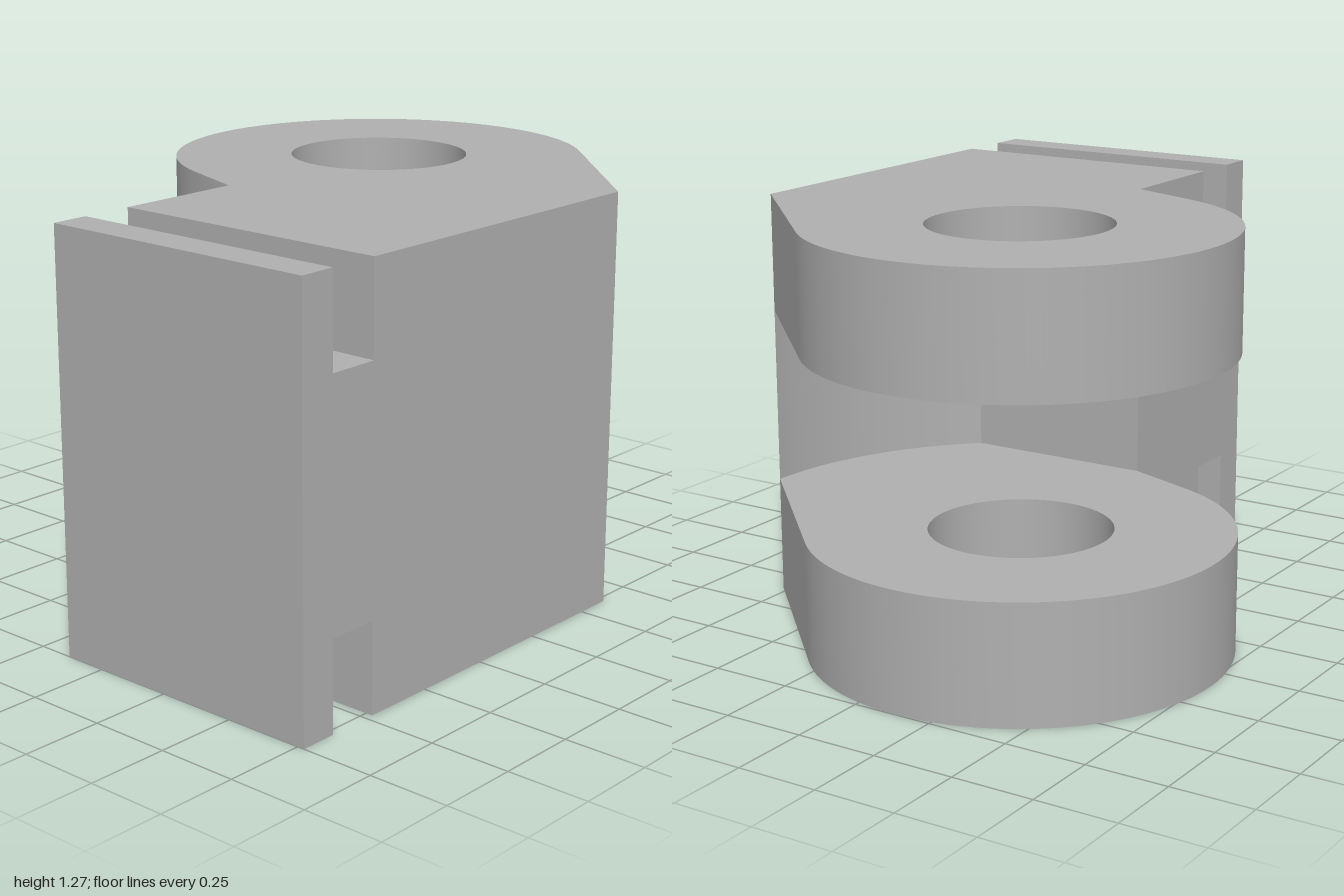
import * as THREE from 'three';
import { toCreasedNormals } from 'three/addons/utils/BufferGeometryUtils.js';

const HEIGHT = 1.273, LUG = 0.364;        // overall height, lug thickness
const PX = 0.362, PZ = -0.136;            // pin axis
const R = 0.637, HOLE = 0.275;            // lug eye and pin hole radii
const FRONT = 0.772, ROOT = -0.318;       // front face, start of the fork
const CLEAR = FRONT - PZ;                 // radius of the hollow between the lugs

export function createModel() {
  const group = new THREE.Group();
  const steel = new THREE.MeshStandardMaterial({ color: 0xb0b0b0 });
  steel.name = 'plain grey';

  const add = (name, geometry) => {
    const mesh = new THREE.Mesh(toCreasedNormals(geometry, 0.5), steel);
    mesh.name = name;
    group.add(mesh);
  };
  const extrude = (shape, depth) =>
    new THREE.ExtrudeGeometry(shape, { depth, bevelEnabled: false, curveSegments: 64 });
  // Plan shape (x, z) raised from y0 by h
  const raise = (shape, y0, h) => extrude(shape, h).rotateX(Math.PI / 2).translate(0, y0 + h, 0);

  // Rear block: side profile with a slot in the top and bottom
  const block = new THREE.Shape([
    [-1, 0], [-0.885, 0], [-0.885, 0.275], [-0.725, 0.275], [-0.725, 0],
    [ROOT, 0], [ROOT, HEIGHT],
    [-0.725, HEIGHT], [-0.725, 0.998], [-0.885, 0.998], [-0.885, HEIGHT], [-1, HEIGHT],
  ].map(([x, y]) => new THREE.Vector2(x, y)));
  add('slottedBlock', extrude(block, FRONT - PZ).translate(0, 0, PZ));

  // Fork lug: round eye with straight sides tangent to it
  const lug = new THREE.Shape();
  lug.moveTo(ROOT, FRONT);
  lug.lineTo(PX, FRONT);
  lug.absarc(PX, PZ, R, Math.PI / 2 - Math.acos(R / CLEAR),
    -Math.PI + Math.acos(R / (PX - ROOT)), true);
  lug.lineTo(ROOT, PZ);
  const hole = new THREE.Path();
  hole.absarc(PX, PZ, HOLE, 0, Math.PI * 2, false);
  lug.holes.push(hole);
  add('lowerLug', raise(lug, 0, LUG));
  add('upperLug', raise(lug, HEIGHT - LUG, LUG));

  // Web between the lugs, hollowed around the pin axis
  const web = new THREE.Shape();
  web.moveTo(ROOT, FRONT);
  web.lineTo(PX, FRONT);
  web.absarc(PX, PZ, CLEAR, Math.PI / 2, Math.PI - Math.acos((PX - ROOT) / CLEAR), false);
  add('hollowedWeb', raise(web, LUG, HEIGHT - 2 * LUG));

  return group;
}
